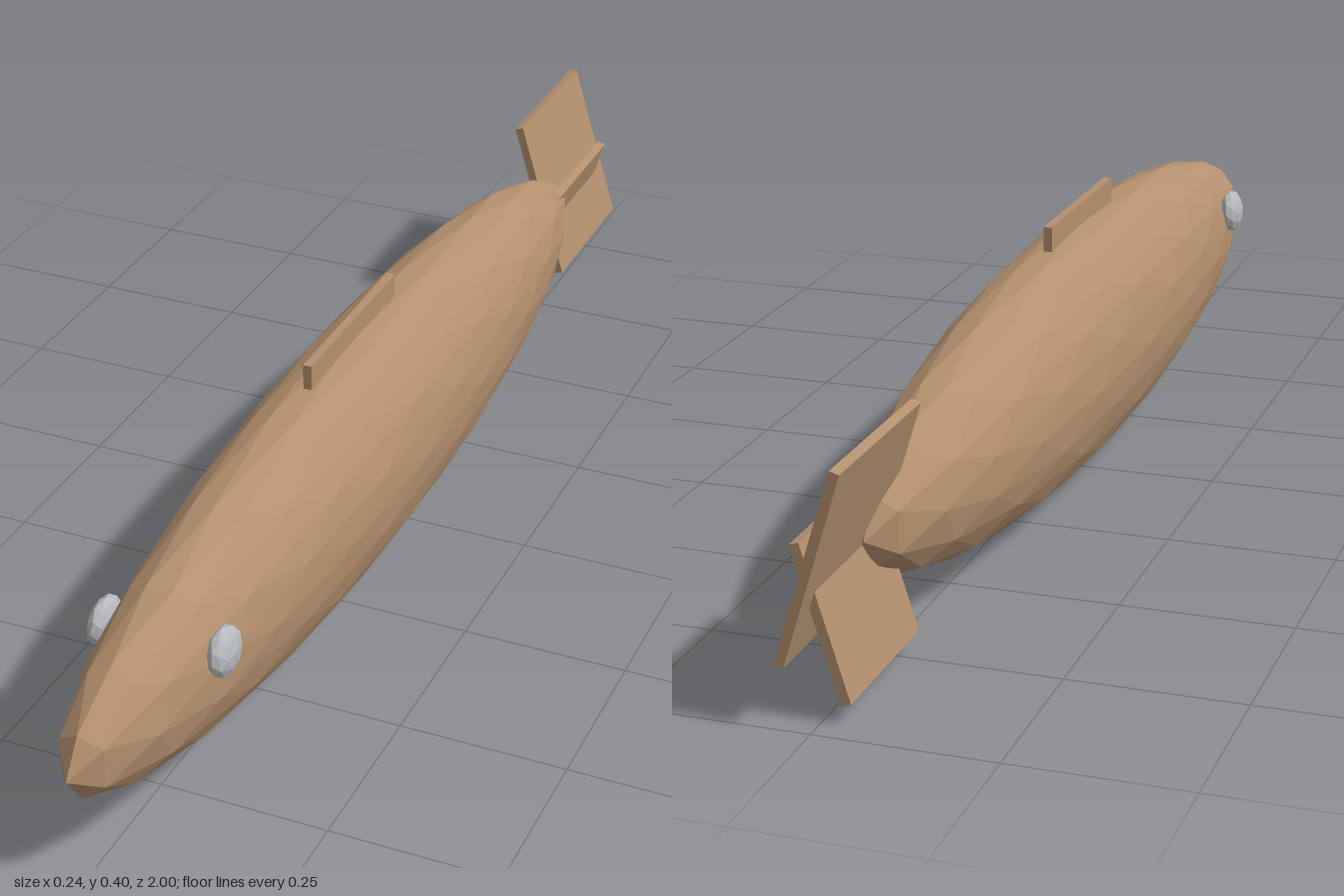
import * as THREE from 'three';

const skin = new THREE.MeshStandardMaterial({ name: 'tan skin', color: 0xb4906e });
const eyeGrey = new THREE.MeshStandardMaterial({ name: 'eye grey', color: 0xb6b9bd });

// Faceted ellipsoid: an icosahedron whose faces are halved repeatedly onto the sphere
function facetedEllipsoid(levels, rx, ry, rz) {
  const base = new THREE.IcosahedronGeometry(1, 0).getAttribute('position');
  let points = [];
  for (let i = 0; i < base.count; i++) points.push(new THREE.Vector3().fromBufferAttribute(base, i));
  for (let level = 0; level < levels; level++) {
    const next = [];
    for (let i = 0; i < points.length; i += 3) {
      const [a, b, c] = points.slice(i, i + 3);
      const ab = a.clone().add(b).normalize();
      const bc = b.clone().add(c).normalize();
      const ca = c.clone().add(a).normalize();
      next.push(a, ab, ca, ab, b, bc, ca, bc, c, ab, bc, ca);
    }
    points = next;
  }
  const geometry = new THREE.BufferGeometry().setFromPoints(points);
  geometry.scale(rx, ry, rz);
  geometry.computeVertexNormals(); // unshared corners give flat facets
  return geometry;
}

export function createModel() {
  const model = new THREE.Group();
  model.name = 'fish';

  function add(name, geometry, material, position, tilt = 0) {
    const mesh = new THREE.Mesh(geometry, material);
    mesh.name = name;
    mesh.position.set(...position);
    mesh.rotation.z = tilt;
    model.add(mesh);
  }

  // Long, narrow body
  add('body', facetedEllipsoid(2, 0.122, 0.184, 0.905), skin, [0, 0.185, 0.093]);

  // Low fin along the back
  add('dorsalFin', new THREE.BoxGeometry(0.013, 0.09, 0.31), skin, [0, 0.357, 0.101]);

  // Two crossed tail plates
  add('upperTailFin', new THREE.BoxGeometry(0.014, 0.278, 0.277), skin, [0, 0.22, -0.8605], 0.3);
  add('lowerTailFin', new THREE.BoxGeometry(0.014, 0.22, 0.238), skin, [0, 0.132, -0.841], -0.3);

  // Flattened eyes leaning with the sides of the head
  for (const side of [1, -1]) {
    add(side > 0 ? 'leftEye' : 'rightEye', facetedEllipsoid(1, 0.018, 0.036, 0.04), eyeGrey,
      [side * 0.09, 0.233, 0.722], side * 0.1);
  }
  return model;
}
